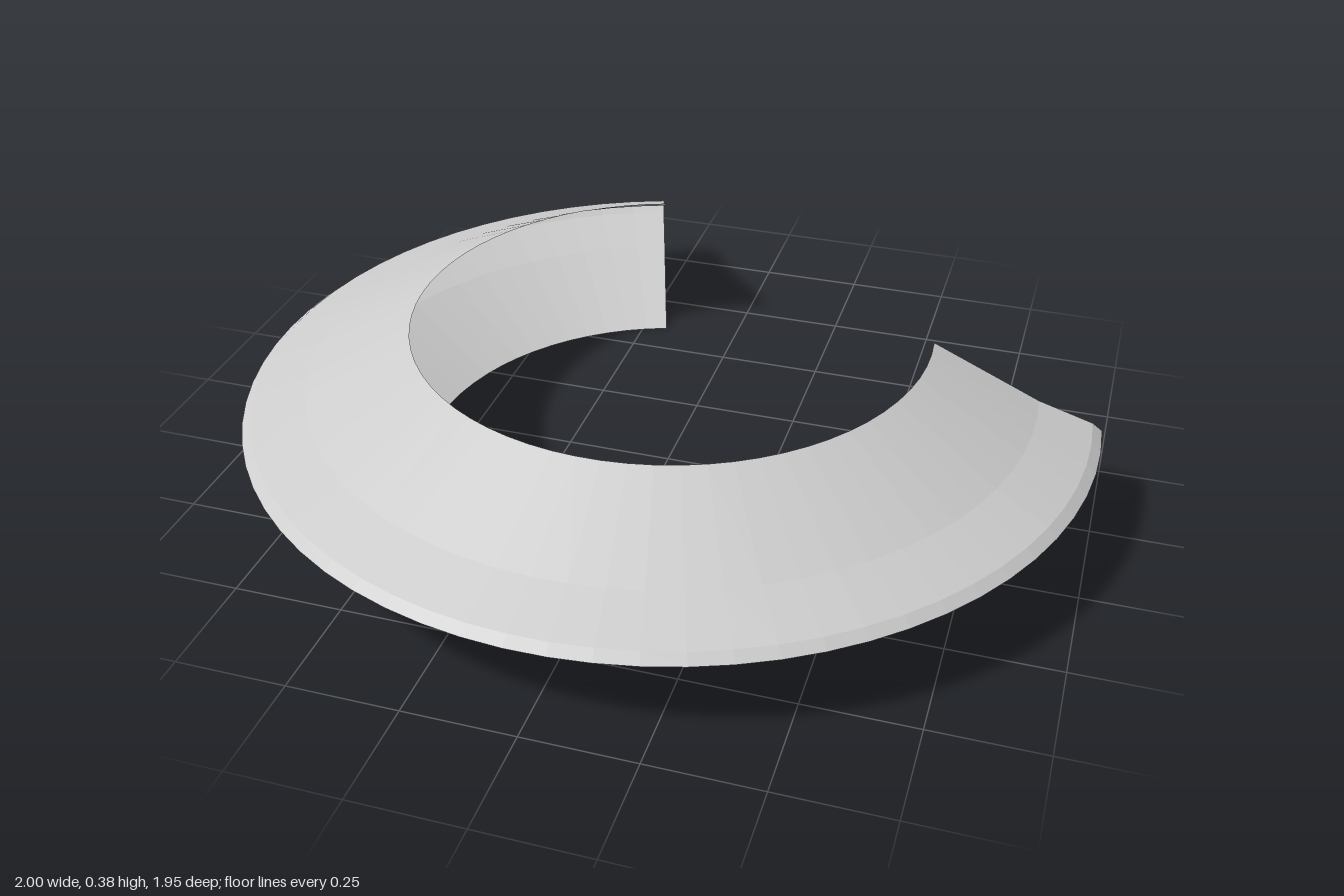
import * as THREE from 'three';

export function createModel() {
  const group = new THREE.Group();
  group.name = 'openRing';

  const grey = new THREE.MeshStandardMaterial({ color: 0xcccccc, side: THREE.DoubleSide, flatShading: true });
  grey.name = 'light grey';

  // Upper half of the V-shaped section, from inner rim towards outer edge: [radius, height above middle]
  const middle = 0.188;
  const half = [[0.603, 0.188], [0.85, 0.063], [0.975, 0.018]];
  const profile = [
    ...half.map(([r, h]) => new THREE.Vector2(r, middle - h)),
    new THREE.Vector2(0.998, middle),
    ...half.slice().reverse().map(([r, h]) => new THREE.Vector2(r, middle + h)),
  ];

  // Thin shell swept round most of a circle, open at both ends and towards the centre
  const start = THREE.MathUtils.degToRad(-161.8);
  const sweep = THREE.MathUtils.degToRad(257.7);
  const shell = new THREE.Mesh(new THREE.LatheGeometry(profile, 50, start, sweep), grey);
  shell.name = 'ringShell';
  shell.position.z = -0.03;
  group.add(shell);

  return group;
}
